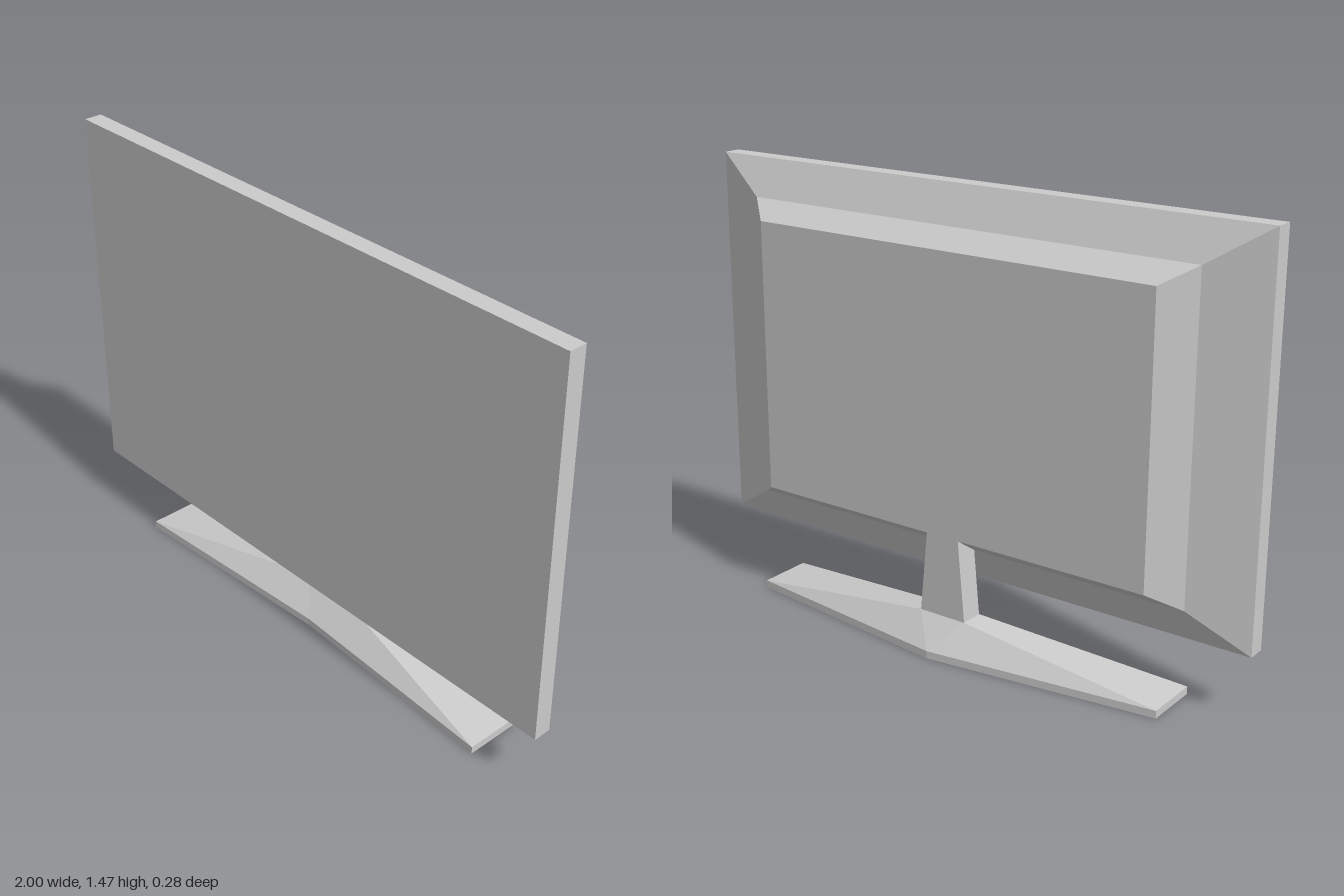
import * as THREE from 'three';

// Closed faceted solid through stacked rings; rings run counter-clockwise seen from the last ring's side.
function loft(name, rings) {
  const pos = [];
  const tri = (a, b, c) => pos.push(...a, ...b, ...c);
  const dist = (p, q) => Math.hypot(p[0] - q[0], p[1] - q[1], p[2] - q[2]);
  const n = rings[0].length;
  for (let r = 0; r < rings.length - 1; r++) {
    const a = rings[r], b = rings[r + 1];
    for (let i = 0; i < n; i++) {
      const j = (i + 1) % n;
      // split each quad along its shorter diagonal
      if (dist(a[i], b[j]) <= dist(a[j], b[i])) {
        tri(a[i], a[j], b[j]);
        tri(a[i], b[j], b[i]);
      } else {
        tri(a[i], a[j], b[i]);
        tri(a[j], b[j], b[i]);
      }
    }
  }
  const first = rings[0], last = rings[rings.length - 1];
  for (let i = 1; i < n - 1; i++) {
    tri(first[0], first[i + 1], first[i]);
    tri(last[0], last[i], last[i + 1]);
  }
  const geometry = new THREE.BufferGeometry();
  geometry.setAttribute('position', new THREE.Float32BufferAttribute(pos, 3));
  geometry.computeVertexNormals();
  const material = new THREE.MeshStandardMaterial({ color: 0xcccccc, flatShading: true });
  const mesh = new THREE.Mesh(geometry, material);
  mesh.name = name;
  return mesh;
}

// Upright rectangle facing z
const panelRing = (x, y0, y1, z) => [[-x, y0, z], [x, y0, z], [x, y1, z], [-x, y1, z]];
// Level rectangle
const levelRing = (x, z0, z1, y) => [[-x, y, z1], [x, y, z1], [x, y, z0], [-x, y, z0]];
// Level six-sided outline with middle points on the front and back edges
const baseRing = (x, y, frontMid, front, back, backMid) => [
  [0, y, frontMid], [x, y, front], [x, y, back],
  [0, y, backMid], [-x, y, back], [-x, y, front],
];

export function createModel() {
  const model = new THREE.Group();
  model.name = 'television';

  // Flat slab with a two-step bevelled back
  model.add(loft('screenHousing', [
    panelRing(0.72, 0.385, 1.29, -0.06),
    panelRing(0.81, 0.33, 1.345, 0.02),
    panelRing(1, 0.215, 1.465, 0.08),
    panelRing(1, 0.215, 1.465, 0.14),
  ]));

  // Tapered neck, flush with the back panel
  model.add(loft('neck', [
    levelRing(0.085, -0.06, 0.02, 0.115),
    levelRing(0.06, -0.06, 0.02, 0.385),
  ]));

  // Swept foot rising to the neck
  model.add(loft('base', [
    baseRing(0.77, 0, 0.1, 0.14, -0.047, -0.143),
    baseRing(0.77, 0.025, 0.1, 0.14, -0.047, -0.143),
    baseRing(0.085, 0.115, 0.02, 0.02, -0.06, -0.06),
  ]));

  return model;
}
